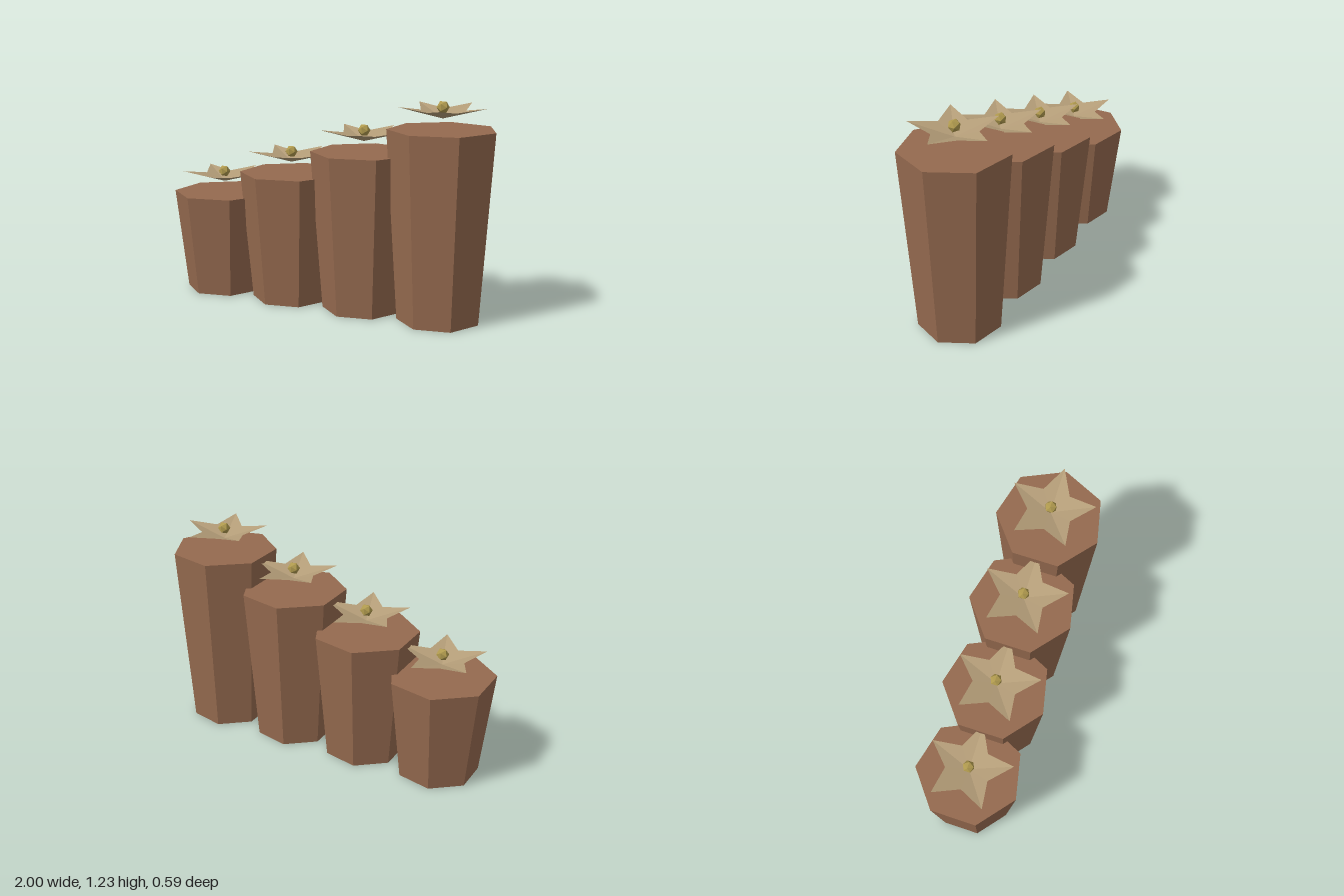
import * as THREE from 'three';

const bark = new THREE.MeshStandardMaterial({ color: 0x956a4f, flatShading: true });
bark.name = 'brown column';
const tan = new THREE.MeshStandardMaterial({ color: 0xb49d78, flatShading: true, side: THREE.DoubleSide });
tan.name = 'tan petal';
const gold = new THREE.MeshStandardMaterial({ color: 0xb09a4e, flatShading: true });
gold.name = 'gold centre';

// Kite-shaped petal along +x, folded into a shallow valley along its middle
function petalGeometry() {
  const base = [0, 0, 0], tip = [0.25, 0.066, 0];
  const left = [0.098, 0.04, -0.08], right = [0.098, 0.04, 0.08];
  const g = new THREE.BufferGeometry();
  g.setAttribute('position', new THREE.Float32BufferAttribute(
    [base, tip, left, base, right, tip].flat(), 3));
  g.computeVertexNormals();
  return g;
}

function createFlower() {
  const flower = new THREE.Group();
  flower.name = 'flower';
  const geometry = petalGeometry();
  for (let i = 0; i < 5; i++) {
    const petal = new THREE.Mesh(geometry, tan);
    petal.name = 'petal';
    petal.rotation.y = (i * Math.PI * 2) / 5;
    flower.add(petal);
  }
  const centre = new THREE.Mesh(new THREE.IcosahedronGeometry(0.036, 0), gold);
  centre.name = 'flowerCentre';
  centre.position.y = 0.062;
  flower.add(centre);
  return flower;
}

export function createModel() {
  const model = new THREE.Group();
  model.name = 'steppedFlowerColumns';
  for (let i = 0; i < 4; i++) {
    const height = 0.602 + i * 0.158;
    const stack = new THREE.Group();
    stack.name = 'floweringColumn';
    stack.position.x = -0.725 + i * 0.473;

    // Seven-sided column, wider at the top, one corner pointing to +x
    const column = new THREE.Mesh(
      new THREE.CylinderGeometry(0.305, 0.236, height, 7, 1, false, Math.PI / 2), bark);
    column.name = 'column';
    column.position.y = height / 2;

    // Flower hovering just above the column
    const flower = createFlower();
    flower.position.y = height + 0.06;
    stack.add(column, flower);
    model.add(stack);
  }
  return model;
}
